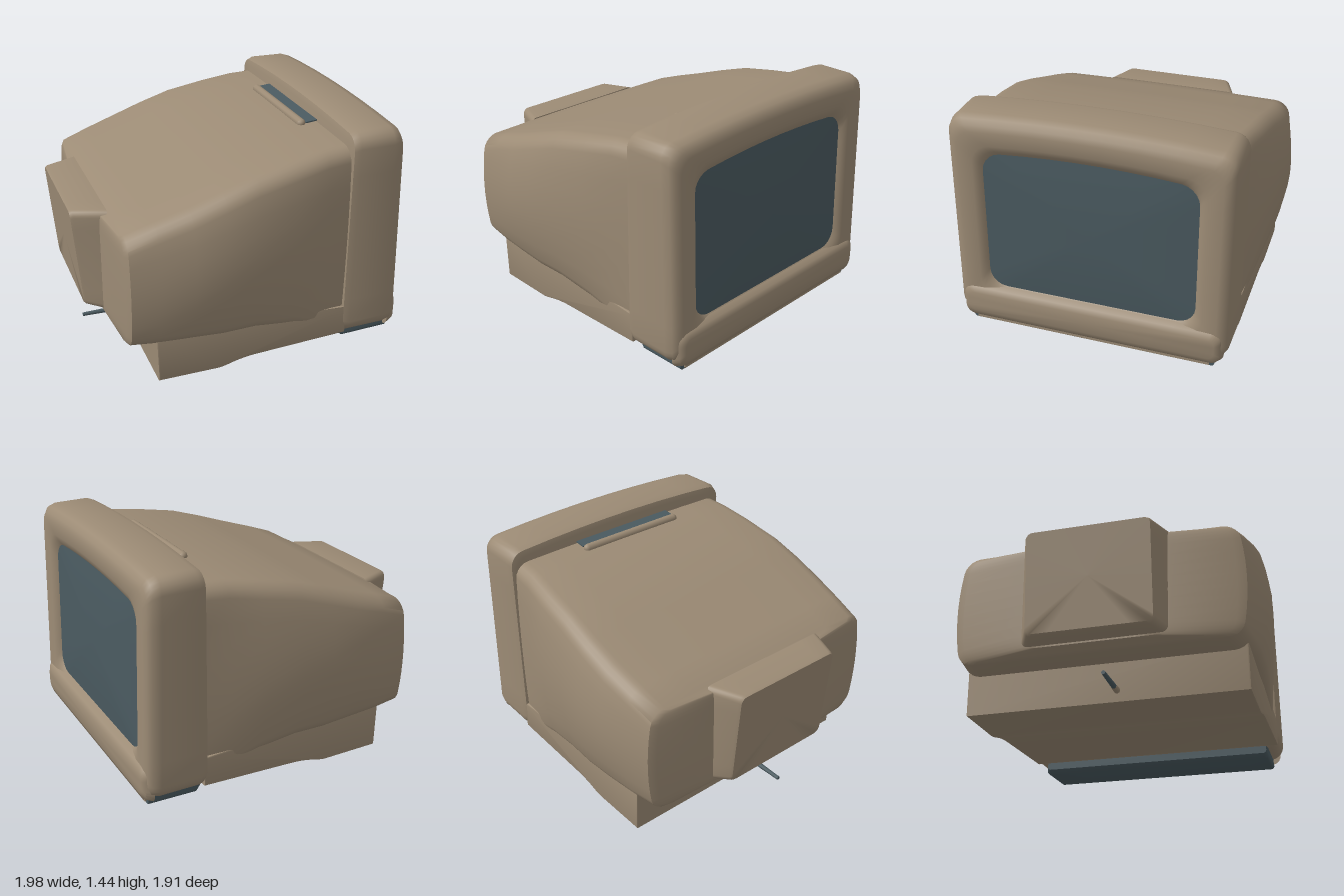
import * as THREE from 'three';
import { toCreasedNormals } from 'three/addons/utils/BufferGeometryUtils.js';

// Rounded rectangle across the x axis; topBow and sideBow swell its edges, tilt leans it along x.
function ring(x, y0, y1, hw, r, { topBow = 0, sideBow = 0, tilt = 0 } = {}) {
  const pts = [], h = y1 - y0, ym = (y0 + y1) / 2;
  const corners = [[hw - r, y1 - r], [-(hw - r), y1 - r], [-(hw - r), y0 + r], [hw - r, y0 + r]];
  const raw = [];
  corners.forEach(([cx, cy], q) => {
    for (let i = 0; i <= 5; i++) {
      const a = (q + i / 5) * Math.PI / 2;
      raw.push([cx + r * Math.cos(a), cy + r * Math.sin(a)]);
    }
    const end = raw[raw.length - 1], a = (q + 1) * Math.PI / 2, n = corners[(q + 1) % 4];
    const next = [n[0] + r * Math.cos(a), n[1] + r * Math.sin(a)];
    for (let i = 1; i < 7; i++) raw.push([0, 1].map(k => end[k] + (next[k] - end[k]) * i / 7));
  });
  for (const [u, v] of raw) {
    const t = 2 * (v - ym) / h;
    const z = -(u + sideBow * (u / hw) * (1 - t * t));
    const y = v + (v > ym ? topBow * (1 - (u / hw) ** 2) * t : 0);
    pts.push(new THREE.Vector3(x + tilt * (y - 0.7), y, z));
  }
  return pts;
}

// Skin a list of rings, with optional end caps.
function loft(rings, capStart = true, capEnd = true, crease = 0.75) {
  const pos = [], idx = [], n = rings[0].length;
  rings.forEach(r => r.forEach(p => pos.push(p.x, p.y, p.z)));
  for (let i = 0; i < rings.length - 1; i++) {
    for (let j = 0; j < n; j++) {
      const k = (j + 1) % n, a = i * n + j, b = i * n + k;
      idx.push(a, b, a + n, b, b + n, a + n);
    }
  }
  const cap = (i, flip) => {
    const c = new THREE.Vector3();
    rings[i].forEach(p => c.addScaledVector(p, 1 / n));
    const ci = pos.length / 3;
    pos.push(c.x, c.y, c.z);
    for (let j = 0; j < n; j++) {
      const a = i * n + j, b = i * n + (j + 1) % n;
      idx.push(ci, flip ? b : a, flip ? a : b);
    }
  };
  if (capStart) cap(0, true);
  if (capEnd) cap(rings.length - 1, false);
  const g = new THREE.BufferGeometry();
  g.setAttribute('position', new THREE.Float32BufferAttribute(pos, 3));
  g.setIndex(idx);
  return toCreasedNormals(g, crease);
}

export function createModel() {
  const group = new THREE.Group();
  const beige = new THREE.MeshStandardMaterial({ color: 0x9c8b75 });
  beige.name = 'beige plastic';
  const slate = new THREE.MeshStandardMaterial({ color: 0x4a5a60 });
  slate.name = 'slate glass';
  const add = (name, geometry, material) => {
    const m = new THREE.Mesh(geometry, material);
    m.name = name;
    group.add(m);
    return m;
  };

  // Tapering housing: x, bottom, top, half width, side swell
  const housing = [
    [-0.83, 0.30, 0.96, 0.44, 0], [-0.79, 0.27, 0.965, 0.80, 0.03], [-0.77, 0.26, 0.98, 0.84, 0.04],
    [-0.6, 0.25, 1.04, 0.855, 0.06], [-0.4, 0.25, 1.105, 0.87, 0.08], [-0.2, 0.24, 1.175, 0.875, 0.08],
    [0, 0.24, 1.24, 0.87, 0.07], [0.25, 0.20, 1.29, 0.855, 0.055], [0.45, 0.13, 1.325, 0.835, 0.03],
    [0.62, 0.09, 1.335, 0.825, 0.01],
  ];
  add('housing', loft(housing.map(([x, y0, y1, hw, s]) =>
    ring(x, y0, y1 - 0.01, hw, 0.085, { sideBow: s, topBow: 0.01 })), true, true, 0.9), beige);

  // Raised block on the back, leaning under itself
  add('rearBlock', loft([
    ring(-0.965, 0.34, 0.97, 0.375, 0.04, { tilt: -0.09 }),
    ring(-0.95, 0.33, 0.977, 0.385, 0.04, { tilt: -0.08 }),
    ring(-0.78, 0.30, 0.98, 0.46, 0.04),
  ]), beige);

  // Front surround with a recessed opening
  const bow = { topBow: 0.035 };
  const lean = { topBow: 0.035, tilt: -0.03 };
  add('bezel', loft([
    ring(0.59, 0.10, 1.36, 0.82, 0.08, bow),
    ring(0.60, 0.08, 1.395, 0.85, 0.085, bow),
    ring(0.64, 0.07, 1.41, 0.86, 0.085, bow),
    ring(0.88, 0.07, 1.41, 0.855, 0.085, lean),
    ring(0.93, 0.08, 1.395, 0.845, 0.085, lean),
    ring(0.955, 0.105, 1.365, 0.82, 0.085, lean),
    ring(0.965, 0.14, 1.33, 0.785, 0.085, lean),
    ring(0.96, 0.235, 1.25, 0.70, 0.11, lean),
    ring(0.945, 0.27, 1.215, 0.665, 0.11, lean),
    ring(0.925, 0.29, 1.19, 0.65, 0.11, lean),
  ], true, false, 0.9), beige);

  // Gently domed screen filling the opening
  const dome = [1, 0.8, 0.6, 0.4, 0.2].map(s =>
    ring(0.925 + 0.022 * (1 - s * s), 0.74 - 0.45 * s, 0.74 + 0.45 * s, 0.65 * s, 0.11 * s,
      { topBow: 0.035 * s, tilt: -0.03 }));
  add('screen', loft(dome, false, true, 1), slate);

  // Chin swelling along the bottom of the surround
  add('chin', loft([
    ring(0.93, 0.04, 0.29, 0.83, 0.06),
    ring(0.98, 0.06, 0.27, 0.815, 0.06),
    ring(0.995, 0.10, 0.235, 0.78, 0.04),
  ], true, true, 0.9), beige);

  // Pedestal and underside, cut from a side profile
  const side = new THREE.Shape();
  side.moveTo(-0.62, 0.32);
  side.lineTo(-0.61, 0.01);
  side.lineTo(-0.23, 0.01);
  side.bezierCurveTo(-0.16, 0.015, -0.12, 0.05, 0.05, 0.055);
  side.lineTo(0.62, 0.08);
  side.lineTo(0.62, 0.27);
  side.lineTo(-0.3, 0.32);
  side.closePath();
  const pedestal = new THREE.ExtrudeGeometry(side, {
    depth: 1.68, bevelEnabled: true, bevelSize: 0.01, bevelThickness: 0.01, bevelOffset: -0.01, bevelSegments: 2,
  });
  pedestal.translate(0, 0, -0.84);
  add('pedestal', toCreasedNormals(pedestal, 0.6), beige);

  // Dark foot below the surround, with a lip in front
  add('frontFoot', loft([
    ring(0.61, 0.03, 0.13, 0.77, 0.02), ring(0.64, 0.005, 0.13, 0.78, 0.02),
    ring(0.95, 0.015, 0.13, 0.78, 0.02),
  ]), slate);
  const lip = add('footLip', new THREE.BoxGeometry(0.012, 0.07, 1.5), beige);
  lip.position.set(0.955, 0.06, 0);

  // Grip slot on top behind the surround, with a raised rim
  const slot = add('gripSlot', new THREE.BoxGeometry(0.075, 0.008, 0.74), slate);
  slot.position.set(0.553, 1.339, 0);
  slot.rotation.z = 0.1;
  const rim = add('gripRim', new THREE.CapsuleGeometry(0.028, 0.7, 4, 10), beige);
  rim.rotation.x = Math.PI / 2;
  rim.position.set(0.49, 1.33, 0);

  // Cable stub leaving the back of the pedestal
  const stub = (name, x0, x1, r0, r1, material) => {
    const m = add(name, new THREE.CylinderGeometry(r0, r1, x1 - x0, 10), material);
    m.rotation.z = Math.PI / 2;
    m.position.set((x0 + x1) / 2, 0.08, 0.08);
  };
  stub('cable', -0.89, -0.68, 0.012, 0.016, slate);
  stub('cableSleeve', -0.68, -0.6, 0.017, 0.02, beige);

  return group;
}
